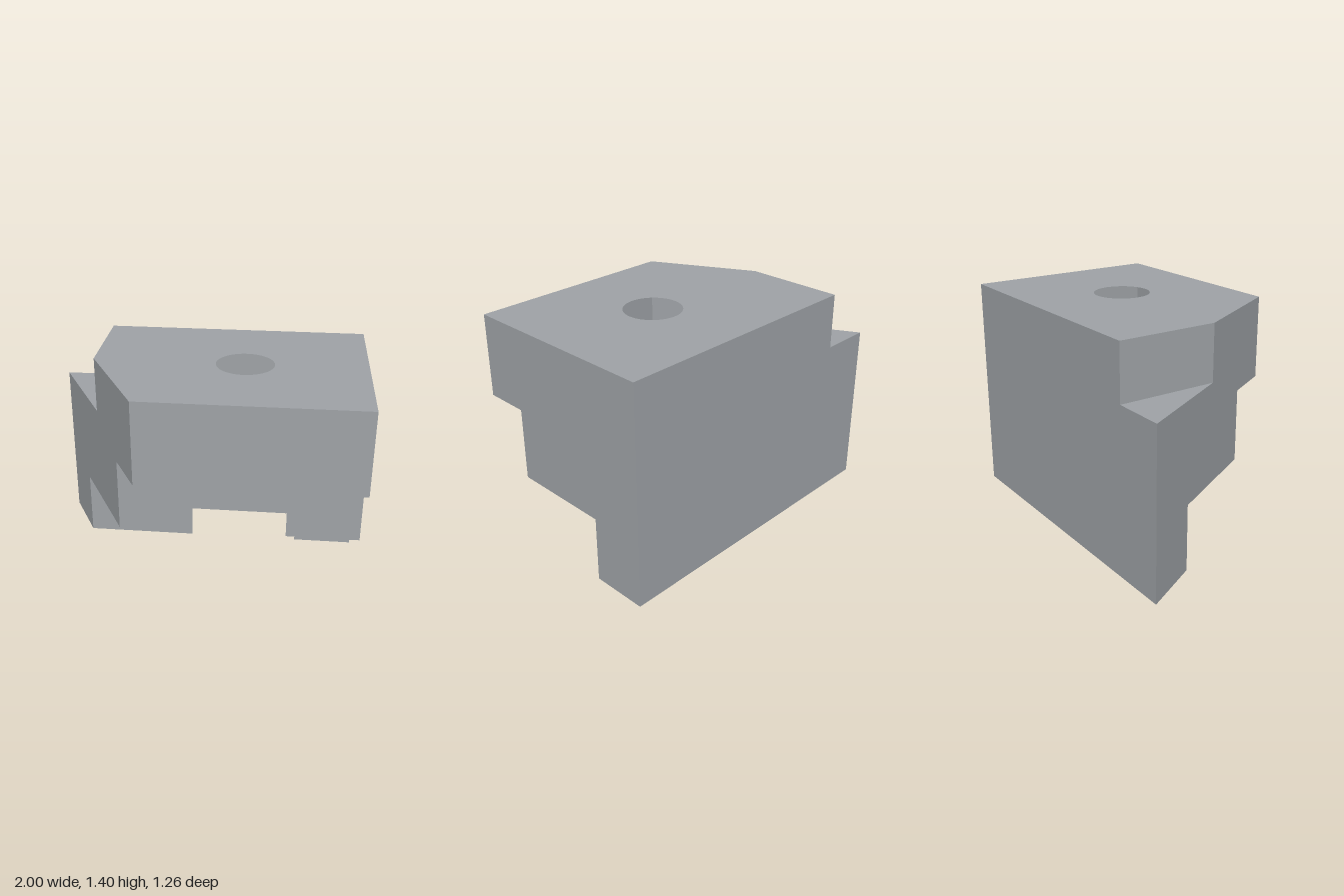
import * as THREE from 'three';

// main dimensions
const Z = 0.63, MID = 0.35, LOW = -0.28;         // depth of the three steps
const TOP = 1.4, NOTCH = 1.05, Y2 = 0.88, Y1 = 0.42, CEIL = 0.7;
const HX = 0.26, R = 0.455, r = 0.178;           // bore centre and radii
const slant = z => -1 + (z + Z) * 0.665 / (2 * Z);
const NX = slant(0);

// points along the bore circle in (x, z)
function arc(a0, a1, n = 32) {
  return Array.from({ length: n + 1 }, (_, i) => {
    const a = a0 + (a1 - a0) * i / n;
    return [HX + R * Math.cos(a), R * Math.sin(a)];
  });
}

export function createModel() {
  const group = new THREE.Group();
  const grey = new THREE.MeshStandardMaterial({ color: 0x9fa3a7, side: THREE.DoubleSide });
  grey.name = 'grey';

  // flat wall: outline in two coordinates, placed in space by a rule
  function face(name, pts, place, flip = false, hole = false) {
    const shape = new THREE.Shape(pts.map(p => new THREE.Vector2(p[0], p[1])));
    if (hole) shape.holes.push(new THREE.Path().absarc(HX, 0, r, 0, Math.PI * 2, true));
    const geo = new THREE.ShapeGeometry(shape, 32);
    const pos = geo.attributes.position;
    for (let i = 0; i < pos.count; i++) pos.setXYZ(i, ...place(pos.getX(i), pos.getY(i)));
    if (flip) geo.index.array.reverse();
    geo.computeVertexNormals();
    const mesh = new THREE.Mesh(geo, grey);
    mesh.name = name;
    group.add(mesh);
  }
  const rect = (a, b, c, d) => [[a, b], [c, b], [c, d], [a, d]];
  const level = y => (x, z) => [x, y, z];
  const upright = z => (x, y) => [x, y, z];
  const sideways = x => (z, y) => [x, y, z];

  // upward surfaces
  face('topFace', [[NX, -Z], [1, -Z], [1, Z], [slant(Z), Z], [NX, 0]], level(TOP), true, true);
  face('notchFloor', [[-1, -Z], [NX, -Z], [NX, 0]], level(NOTCH), true);

  // undersides of the steps, cut back around the bore
  face('upperUnderside', [[slant(MID), MID], [1, MID], [1, Z], [slant(Z), Z]], level(Y2));
  const aFront = Math.asin(MID / R), aBack = Math.asin(LOW / R);
  face('lowerUndersideLeft', [[1, LOW], [1, MID], ...arc(aFront, aBack)], level(Y1));
  face('lowerUndersideRight', [[slant(LOW), LOW], [slant(MID), MID],
    ...arc(Math.PI - aFront, Math.PI - aBack)], level(Y1));
  face('boreCeiling', arc(Math.PI - aFront, Math.PI * 2 + aFront, 64), level(CEIL), false, true);

  // front walls
  const sx = R * Math.cos(aFront), lx = R * Math.cos(aBack);
  face('upperFront', rect(slant(Z), Y2, 1, TOP), upright(Z));
  face('middleFront', [[slant(MID), Y1], [HX - sx, Y1], [HX - sx, CEIL], [HX + sx, CEIL],
    [HX + sx, Y1], [1, Y1], [1, Y2], [slant(MID), Y2]], upright(MID));
  face('lowerFrontRight', rect(slant(LOW), 0, HX - lx, Y1), upright(LOW));
  face('lowerFrontLeft', rect(HX + lx, 0, 1, Y1), upright(LOW));

  // back wall
  face('backWall', [[-1, 0], [1, 0], [1, TOP], [NX, TOP], [NX, NOTCH], [-1, NOTCH]], upright(-Z), true);

  // stepped side walls
  const steps = [[-Z, 0], [LOW, 0], [LOW, Y1], [MID, Y1], [MID, Y2], [Z, Y2], [Z, TOP]];
  face('leftWall', [...steps, [-Z, TOP]], sideways(1), true);
  face('slantedWall', [...steps, [0, TOP], [0, NOTCH], [-Z, NOTCH]], (z, y) => [slant(z), y, z]);
  face('notchWall', rect(-Z, NOTCH, 0, TOP), sideways(NX));

  return group;
}
